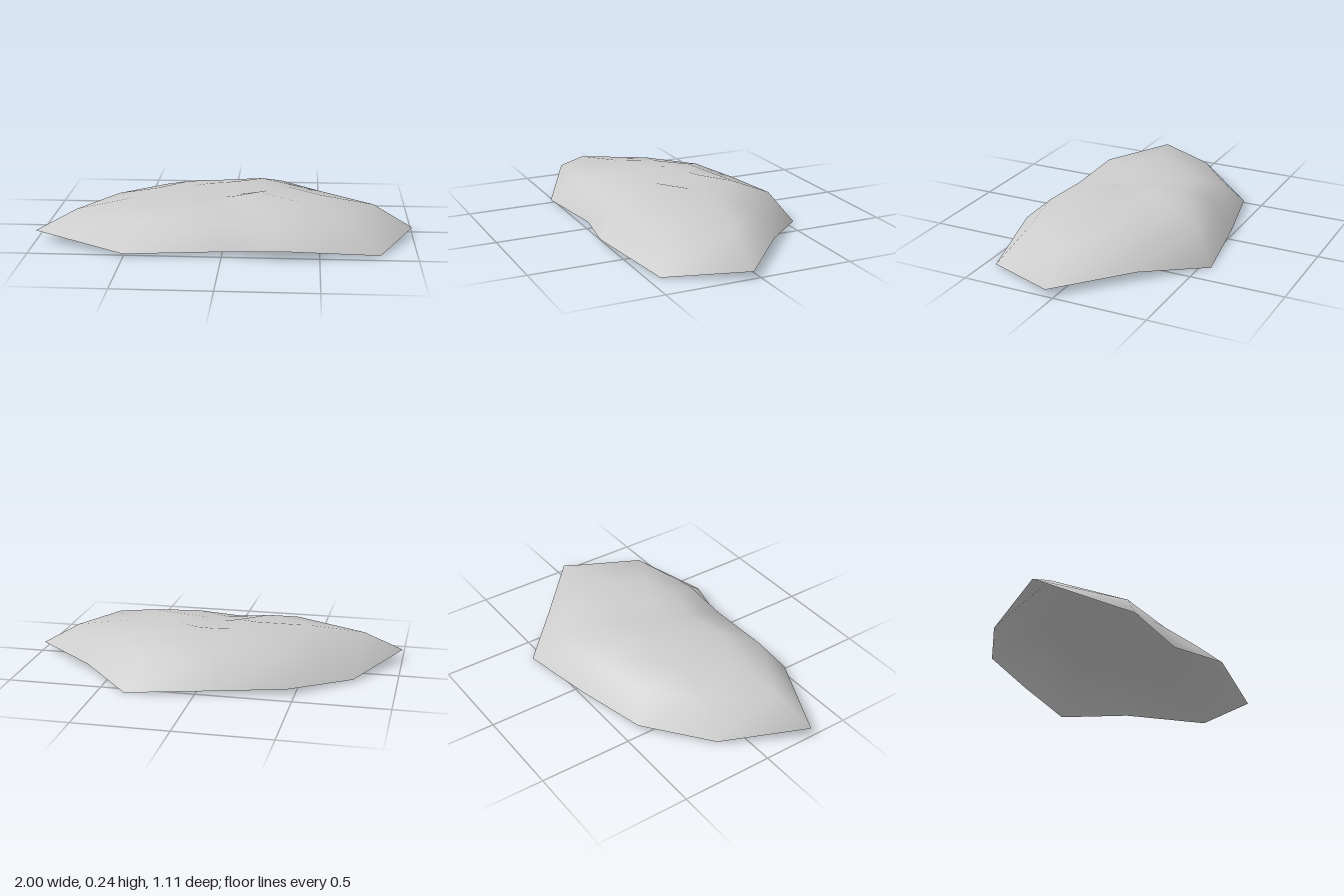
import * as THREE from 'three';

export function createModel() {
  const stone = new THREE.MeshStandardMaterial({ color: 0xcccccc, side: THREE.DoubleSide });
  stone.name = 'pale stone';

  // Each spoke: rim x, y, z, then heights of shoulder, crown and inner rings
  const spokes = [
    [-1.0, 0.055, 0.28, 0.16, 0.205, 0.23],
    [-0.77, 0.01, -0.14, 0.16, 0.205, 0.234],
    [-0.46, 0.03, -0.41, 0.16, 0.21, 0.23],
    [-0.08, 0.02, -0.49, 0.16, 0.21, 0.232],
    [0.36, 0.0, -0.555, 0.16, 0.215, 0.24],
    [0.64, 0.04, -0.28, 0.16, 0.205, 0.23],
    [1.0, 0.037, 0.04, 0.16, 0.205, 0.222],
    [0.81, 0.005, 0.44, 0.155, 0.215, 0.238],
    [0.32, 0.052, 0.55, 0.155, 0.21, 0.222],
    [-0.05, 0.018, 0.475, 0.15, 0.195, 0.207],
    [-0.5, 0.015, 0.525, 0.165, 0.212, 0.222],
  ];
  const scales = [1, 0.79, 0.5, 0.22];
  const n = spokes.length;
  const positions = [];
  scales.forEach((scale, ring) => spokes.forEach(([x, y, z, ...heights], i) => {
    // The front notch is steeper than the rest of the skirt
    const s = ring === 1 && i === 9 ? 0.88 : scale;
    positions.push(x * s, ring ? heights[ring - 1] : y, z * s);
  }));
  positions.push(0.04, 0.203, 0.04); // hollow at the top

  // Join neighbouring rings, then close the crown; the underside stays open
  const index = [];
  for (let i = 0; i < n; i++) {
    const j = (i + 1) % n;
    for (let r = 0; r < scales.length - 1; r++) {
      const o = r * n, q = o + n;
      index.push(o + j, o + i, q + i, o + j, q + i, q + j);
    }
    const last = (scales.length - 1) * n;
    index.push(last + j, last + i, scales.length * n);
  }

  const geometry = new THREE.BufferGeometry();
  geometry.setAttribute('position', new THREE.Float32BufferAttribute(positions, 3));
  geometry.setIndex(index);
  geometry.computeVertexNormals();

  const mound = new THREE.Mesh(geometry, stone);
  mound.name = 'rockMound';
  const group = new THREE.Group();
  group.name = 'flatRock';
  group.add(mound);
  return group;
}
